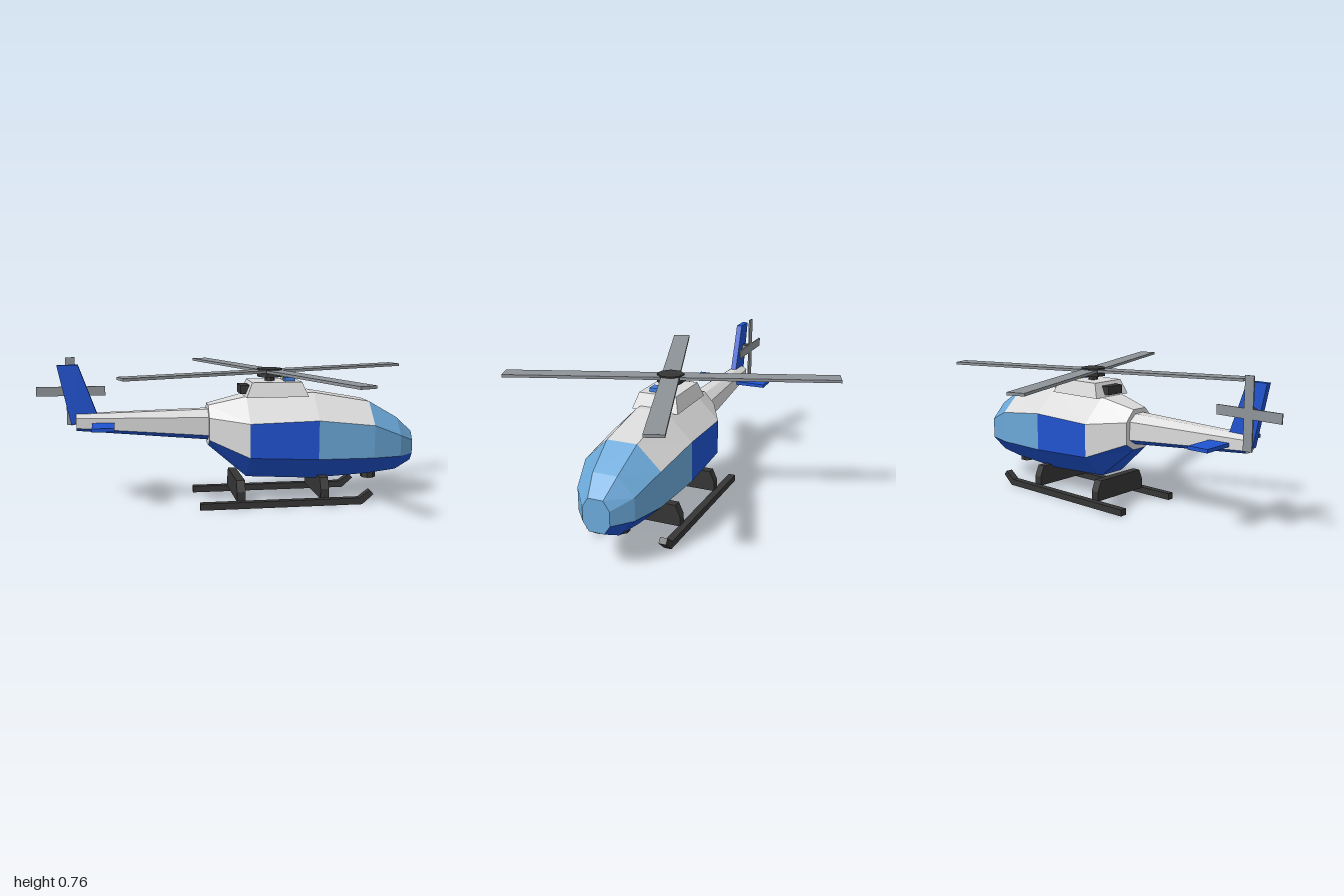
import * as THREE from 'three';

const mat = (name, color) => {
  const m = new THREE.MeshStandardMaterial({ color, flatShading: true });
  m.name = name;
  return m;
};

export function createModel() {
  const model = new THREE.Group();
  model.name = 'helicopter';
  const M = {
    body: mat('light grey body', 0xdadadb),
    blue: mat('blue paint', 0x2053d0),
    glass: mat('window blue', 0x6ba8d8),
    dark: mat('dark metal', 0x353535),
    blade: mat('blade grey', 0x8e9398),
    tan: mat('tan lamp', 0xcfc08e),
    accent: mat('light blue accent', 0x3f7fdc),
  };

  const add = (name, geo, m, x = 0, y = 0, z = 0, parent = model) => {
    const mesh = new THREE.Mesh(geo, m);
    mesh.name = name;
    mesh.position.set(x, y, z);
    parent.add(mesh);
    return mesh;
  };
  // box given by its extents
  const box = (name, m, x0, x1, y0, y1, z0, z1, parent) =>
    add(name, new THREE.BoxGeometry(x1 - x0, y1 - y0, z1 - z0), m,
      (x0 + x1) / 2, (y0 + y1) / 2, (z0 + z1) / 2, parent);
  // outline in the x-y plane, extruded evenly about z
  const plate = (points, depth) => {
    const shape = new THREE.Shape(points.map(([x, y]) => new THREE.Vector2(x, y)));
    return new THREE.ExtrudeGeometry(shape, { depth, bevelEnabled: false }).translate(0, 0, -depth / 2);
  };

  // Octagonal loft along x; each station is
  // [x, half width, flat half width, top, upper edge, lower edge, bottom]
  const loft = (name, stations, paint, capPaint) => {
    const rings = stations.map(([x, w, f, top, up, low, bot]) =>
      [[f, top], [w, up], [w, low], [f, bot], [-f, bot], [-w, low], [-w, up], [-f, top]]
        .map(([z, y]) => [x, y, z]));
    const faces = {};
    const tri = (key, ...p) => (faces[key] ??= []).push(...p.flat());
    for (let s = 0; s < rings.length - 1; s++) {
      for (let i = 0; i < 8; i++) {
        const j = (i + 1) % 8, a = rings[s], b = rings[s + 1], key = paint(s, i);
        tri(key, a[i], a[j], b[j]);
        tri(key, a[i], b[j], b[i]);
      }
    }
    const first = rings[0], last = rings[rings.length - 1];
    for (let i = 1; i < 7; i++) {
      tri(capPaint[0], first[0], first[i + 1], first[i]);
      tri(capPaint[1], last[0], last[i], last[i + 1]);
    }
    const group = new THREE.Group();
    group.name = name;
    for (const [key, pos] of Object.entries(faces)) {
      const g = new THREE.BufferGeometry();
      g.setAttribute('position', new THREE.Float32BufferAttribute(pos, 3));
      g.computeVertexNormals();
      add(`${name} ${key}`, g, M[key], 0, 0, 0, group);
    }
    model.add(group);
  };
  const isLower = i => i >= 2 && i <= 4;
  const isSide = i => i === 1 || i === 5;

  // Fuselage: glazed nose, blue doors and belly
  loft('fuselage', [
    [-0.13, 0.10, 0.045, 0.515, 0.455, 0.34, 0.305],
    [0.065, 0.20, 0.075, 0.56, 0.435, 0.26, 0.14],
    [0.42, 0.208, 0.077, 0.575, 0.445, 0.245, 0.12],
    [0.72, 0.19, 0.075, 0.522, 0.41, 0.24, 0.135],
    [0.88, 0.14, 0.06, 0.43, 0.345, 0.235, 0.15],
    [0.97, 0.066, 0.037, 0.35, 0.305, 0.235, 0.193],
  ], (s, i) => {
    if (isLower(i)) return 'blue';
    if (s >= 3) return 'glass';
    if (isSide(i)) return ['body', 'blue', 'glass'][s];
    return 'body';
  }, ['body', 'glass']);

  // Tail boom with blue underside
  loft('tail boom', [
    [-0.80, 0.045, 0.018, 0.478, 0.46, 0.41, 0.393],
    [-0.12, 0.075, 0.03, 0.492, 0.455, 0.36, 0.332],
  ], (s, i) => (isLower(i) ? 'blue' : 'body'), ['body', 'body']);

  // Fin and stabilisers
  add('tail fin', plate([[-0.825, 0.42], [-0.695, 0.475], [-0.785, 0.727], [-0.89, 0.727]], 0.03), M.blue);
  for (const s of [1, -1]) {
    box('stabiliser', M.blue, -0.72, -0.61, 0.417, 0.435, s > 0 ? 0.03 : -0.217, s > 0 ? 0.217 : -0.03);
  }

  // Tail rotor on the right of the fin
  const tailRotor = new THREE.Group();
  tailRotor.name = 'tail rotor';
  tailRotor.position.set(-0.826, 0.587, -0.056);
  model.add(tailRotor);
  add('tail blade', new THREE.BoxGeometry(0.348, 0.048, 0.007), M.blade, 0, 0, 0, tailRotor);
  add('tail blade', new THREE.BoxGeometry(0.048, 0.348, 0.007), M.blade, 0, 0, 0, tailRotor);
  add('tail rotor hub', new THREE.CylinderGeometry(0.025, 0.025, 0.042, 8).rotateX(Math.PI / 2),
    M.dark, 0, 0, 0.025, tailRotor);

  // Engine cowl, narrowed toward the top
  const cowl = new THREE.BoxGeometry(0.325, 0.075, 0.24);
  const p = cowl.attributes.position;
  for (let i = 0; i < p.count; i++) {
    if (p.getY(i) > 0) p.setXYZ(i, p.getX(i) * 0.8, p.getY(i), p.getZ(i) * 0.81);
  }
  cowl.computeVertexNormals();
  add('engine cowl', cowl, M.body, 0.222, 0.595, 0);
  box('exhaust', M.dark, 0.037, 0.10, 0.57, 0.615, -0.052, 0.052);
  box('left roof light', M.accent, 0.27, 0.325, 0.625, 0.652, 0.007, 0.055);
  box('right roof light', M.tan, 0.27, 0.325, 0.625, 0.652, -0.055, -0.007);

  // Main rotor
  const rotor = new THREE.Group();
  rotor.name = 'main rotor';
  rotor.position.set(0.2, 0, 0);
  model.add(rotor);
  add('mast', new THREE.CylinderGeometry(0.026, 0.026, 0.05, 8), M.dark, 0, 0.64, 0, rotor);
  add('hub', new THREE.CylinderGeometry(0.067, 0.067, 0.043, 8).rotateY(Math.PI / 8), M.dark, 0, 0.675, 0, rotor);
  for (const turn of [0, Math.PI / 2]) {
    add('blade pair', new THREE.BoxGeometry(1.66, 0.014, 0.09), M.blade, 0, 0.682, 0, rotor)
      .rotation.y = Math.PI / 9 + turn;
  }

  // Landing gear: two rails with raised tips, two cross struts
  const rail = [[-0.19, 0], [0.655, 0], [0.715, 0.052], [0.695, 0.075], [0.64, 0.034], [-0.19, 0.034]];
  for (const s of [1, -1]) add('skid rail', plate(rail, 0.037), M.dark, 0, 0, s * 0.188);
  const strut = [[-0.175, 0.03], [0.175, 0.03], [0.175, 0.08], [0.15, 0.137], [-0.15, 0.137], [-0.175, 0.08]];
  for (const x of [0.023, 0.463]) {
    add('skid strut', plate(strut, 0.044).rotateY(Math.PI / 2), M.dark, x, 0, 0);
  }

  // Search light under the nose
  add('search light', new THREE.CylinderGeometry(0.04, 0.04, 0.05, 8).rotateY(Math.PI / 8), M.dark, 0.748, 0.124, 0);
  add('search light lens', new THREE.CylinderGeometry(0.032, 0.032, 0.004, 8).rotateY(Math.PI / 8), M.tan, 0.748, 0.098, 0);

  return model;
}
